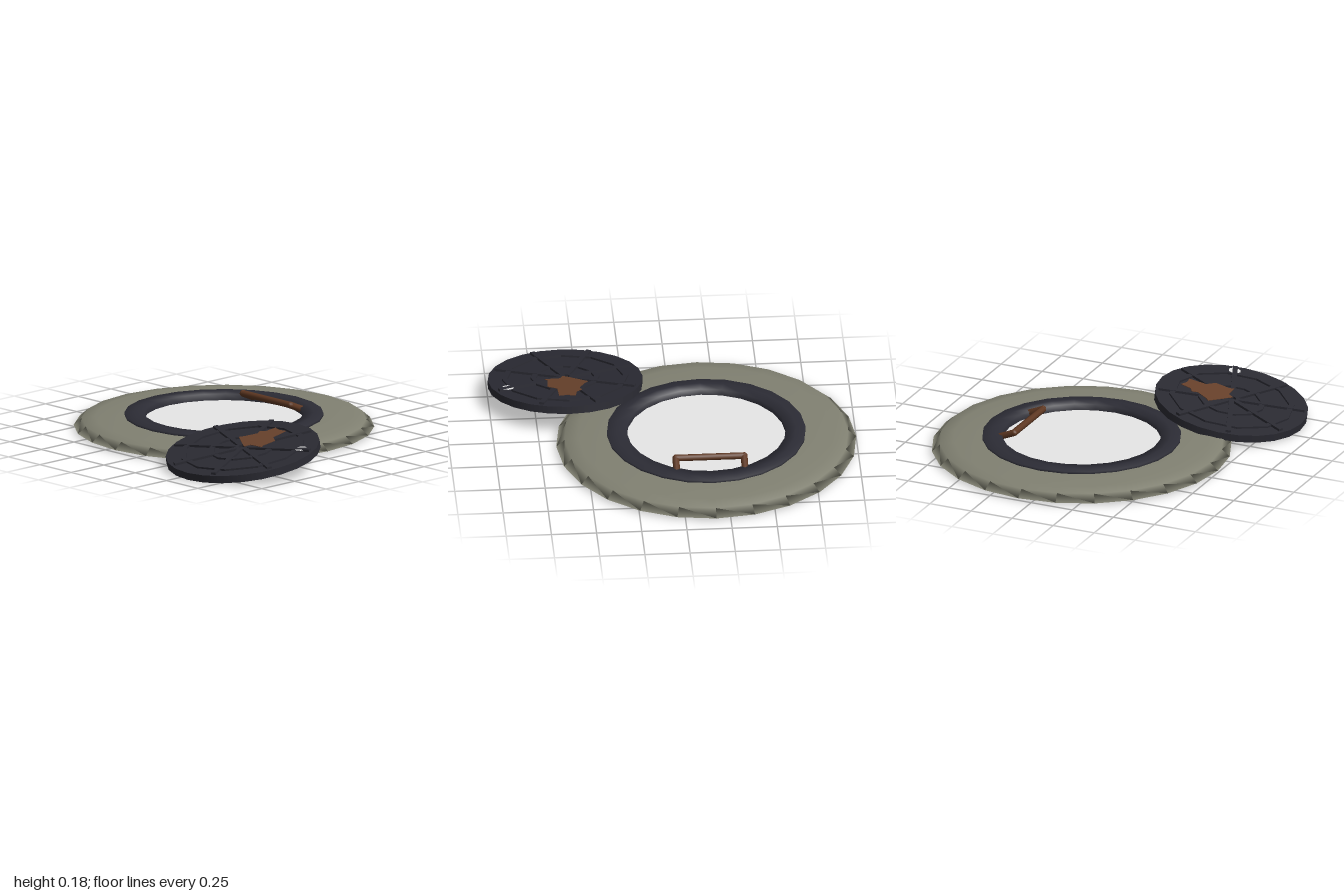
import * as THREE from 'three';

const mat = (name, color, side = THREE.FrontSide) => {
  const m = new THREE.MeshStandardMaterial({ color, side });
  m.name = name;
  return m;
};

export function createModel() {
  const earth = mat('earth', 0x818172);
  const rimIron = mat('rimIron', 0x2c2c35);
  const lidIron = mat('lidIron', 0x2a2a32);
  const rust = mat('rust', 0x67412b);
  const rungRust = mat('rungRust', 0x5f3822);
  const pale = mat('pale', 0xe7e7e7, THREE.DoubleSide);

  const root = new THREE.Group();
  root.name = 'openManhole';
  const add = (parent, name, geometry, material) => {
    const mesh = new THREE.Mesh(geometry, material);
    mesh.name = name;
    parent.add(mesh);
    return mesh;
  };
  const lathe = (pts, sides) =>
    new THREE.LatheGeometry(pts.map(([r, y]) => new THREE.Vector2(r, y)), sides);

  // Shaft opening with its surrounding ground, a thin closed shell
  const opening = new THREE.Group();
  opening.name = 'opening';
  opening.position.set(-0.17, 0, -0.08);
  root.add(opening);
  add(opening, 'ground', lathe([[0.5, 0.055], [0.54, 0.035], [0.6, 0.052], [0.7, 0.046], [0.83, 0.015],
    [0.785, 0.055], [0.71, 0.066], [0.56, 0.076], [0.5, 0.072], [0.5, 0.055]], 24), earth);
  add(opening, 'rim', lathe([[0.44, 0.045], [0.53, 0.045], [0.55, 0.07], [0.55, 0.088], [0.497, 0.093],
    [0.44, 0.088], [0.44, 0.045]], 24), rimIron);
  const shaft = add(opening, 'shaftOpening', new THREE.CircleGeometry(0.445, 24), pale);
  shaft.rotation.x = -Math.PI / 2;
  shaft.position.y = 0.052;

  // Ladder rung rising out of the shaft
  const rung = new THREE.Group();
  rung.name = 'ladderRung';
  root.add(rung);
  const rod = (name, a, b) => {
    const from = new THREE.Vector3(...a), dir = new THREE.Vector3(...b).sub(from);
    const mesh = add(rung, name, new THREE.CylinderGeometry(0.019, 0.019, dir.length(), 8), rungRust);
    mesh.position.copy(from).addScaledVector(dir, 0.5);
    mesh.quaternion.setFromUnitVectors(new THREE.Vector3(0, 1, 0), dir.normalize());
  };
  const xs = [-0.357, 0.021];
  rod('rungBar', [xs[0], 0.11, -0.405], [xs[1], 0.11, -0.405]);
  for (const x of xs) {
    rod('rungArm', [x, 0.11, -0.405], [x, 0.067, -0.505]);
    add(rung, 'rungElbow', new THREE.SphereGeometry(0.0195, 8, 6), rungRust).position.set(x, 0.11, -0.405);
  }

  // Lid leaning on the rim
  const lid = new THREE.Group();
  lid.name = 'lid';
  lid.position.set(0.572, 0.092, 0.484);
  lid.rotation.x = 0.16;
  root.add(lid);
  const top = 0.021, ribHeight = 0.013;
  add(lid, 'lidPlate', new THREE.CylinderGeometry(0.428, 0.428, top * 2, 24), lidIron);

  // Raised spokes and rings
  for (let i = 0; i < 8; i++) {
    const angle = Math.PI / 8 + i * Math.PI / 4;
    const spoke = add(lid, 'lidSpoke', new THREE.BoxGeometry(0.385, ribHeight, 0.028), lidIron);
    spoke.position.set(Math.cos(angle) * 0.215, top + ribHeight / 2, -Math.sin(angle) * 0.215);
    spoke.rotation.y = angle;
  }
  for (const r of [0.35, 0.19]) {
    const shape = new THREE.Shape(), hole = new THREE.Path();
    const ring = (path, radius) => path.setFromPoints(Array.from({ length: 12 }, (_, i) =>
      new THREE.Vector2(radius * Math.cos(i * Math.PI / 6), radius * Math.sin(i * Math.PI / 6))));
    ring(shape, r);
    ring(hole, r - 0.03);
    shape.holes.push(hole);
    const mesh = add(lid, 'lidRing',
      new THREE.ExtrudeGeometry(shape, { depth: ribHeight * 0.8, bevelEnabled: false }), lidIron);
    mesh.rotation.x = -Math.PI / 2;
    mesh.position.y = top;
  }

  // Rust patch
  const patch = new THREE.Shape([[-0.04, 0.295], [-0.05, 0.232], [-0.08, 0.21], [-0.067, 0.18],
    [-0.1, 0.115], [-0.12, 0.09], [-0.024, 0.024], [0.013, 0], [0.03, 0.035], [0.117, 0.04],
    [0.1, 0.06], [0.107, 0.15], [0.056, 0.185], [0.052, 0.288], [0.01, 0.28],
  ].map(([x, y]) => new THREE.Vector2(x, y)));
  const stain = add(lid, 'rustPatch',
    new THREE.ExtrudeGeometry(patch, { depth: 0.003, bevelEnabled: false }), rust);
  stain.rotation.x = -Math.PI / 2;
  stain.position.y = top + ribHeight - 0.001;

  // Pry hole crossed by a spoke, seen on both faces of the lid
  for (const s of [-1, 1]) {
    const hole = add(lid, 'pryHole', new THREE.CircleGeometry(0.035, 8), pale);
    hole.rotation.x = -s * Math.PI / 2;
    hole.position.set(0.325, s * (top + (s > 0 ? ribHeight * 0.8 + 0.001 : 0.001)), -0.137);
  }
  return root;
}
